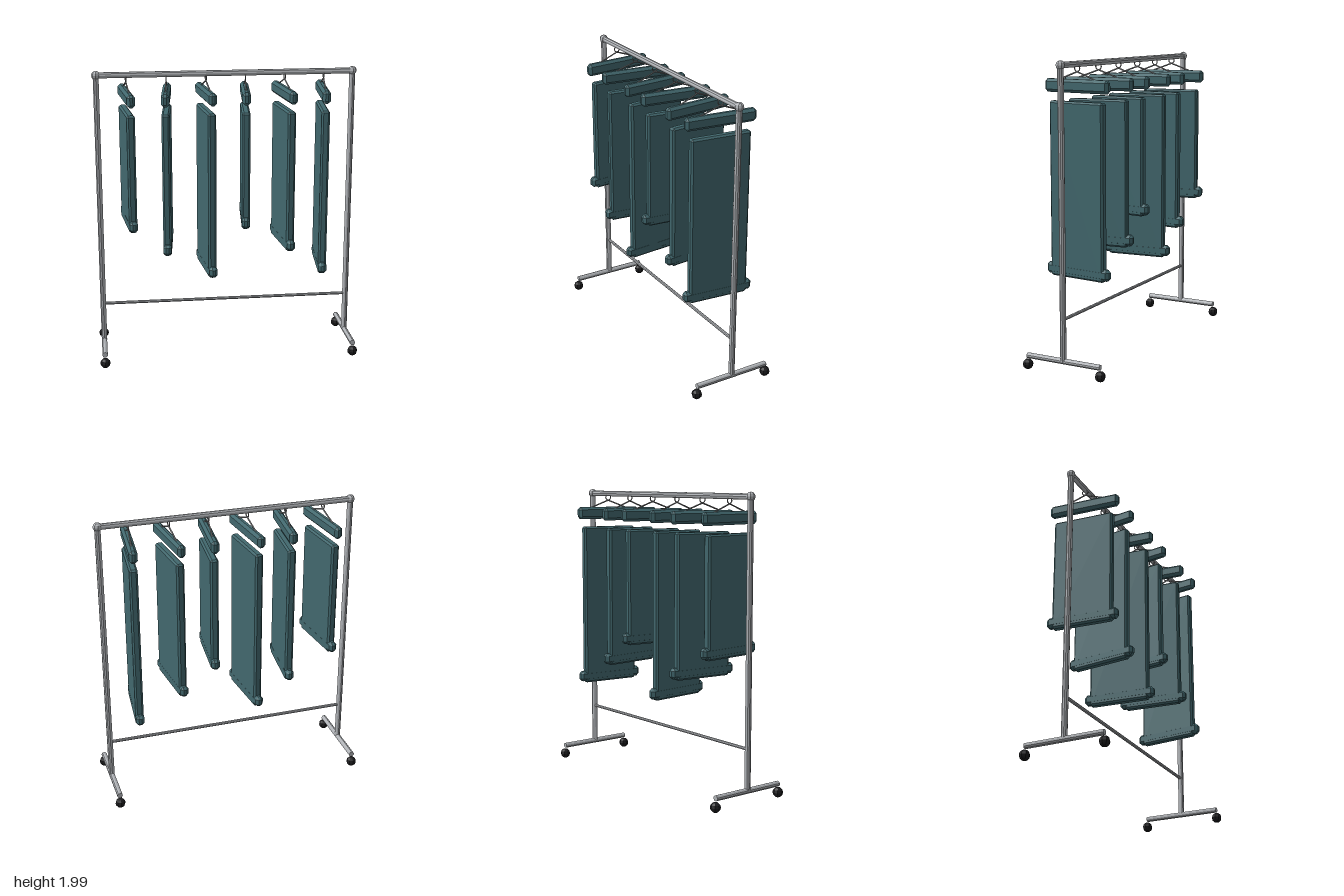
import * as THREE from 'three';
import { ConvexGeometry } from 'three/addons/geometries/ConvexGeometry.js';

const material = (name, color) => {
  const m = new THREE.MeshStandardMaterial({ color, flatShading: true });
  m.name = name;
  return m;
};

// Box with every edge and corner cut off by c
function chamferBox(w, h, d, c) {
  const points = [];
  for (const x of [-1, 1]) for (const y of [-1, 1]) for (const z of [-1, 1]) {
    const a = w / 2, b = h / 2, e = d / 2;
    points.push(
      new THREE.Vector3(x * a, y * (b - c), z * (e - c)),
      new THREE.Vector3(x * (a - c), y * b, z * (e - c)),
      new THREE.Vector3(x * (a - c), y * (b - c), z * e));
  }
  return new ConvexGeometry(points);
}

export function createModel() {
  const steel = material('steel', 0xb0b3b7);
  const wire = material('hanger wire', 0x929294);
  const cloth = material('teal cloth', 0x42686e);
  const rubber = material('black rubber', 0x1b1b1d);

  const model = new THREE.Group();
  model.name = 'clothesRack';

  const add = (parent, name, geometry, mat, x = 0, y = 0, z = 0) => {
    const mesh = new THREE.Mesh(geometry, mat);
    mesh.name = name;
    mesh.position.set(x, y, z);
    parent.add(mesh);
    return mesh;
  };

  // Straight round bar between two points
  const bar = (parent, name, from, to, radius, mat, sides = 10) => {
    const a = new THREE.Vector3(...from), b = new THREE.Vector3(...to);
    const mesh = add(parent, name, new THREE.CylinderGeometry(radius, radius, a.distanceTo(b), sides), mat);
    mesh.position.copy(a).add(b).multiplyScalar(0.5);
    mesh.quaternion.setFromUnitVectors(new THREE.Vector3(0, 1, 0), b.sub(a).normalize());
  };

  // Frame
  const X = 0.86, TOP = 1.97;
  bar(model, 'topBar', [-X, TOP, 0], [X, TOP, 0], 0.02, steel);
  bar(model, 'lowerRail', [-X, 0.373, 0], [X, 0.373, 0], 0.011, steel, 8);
  for (const x of [-X, X]) {
    bar(model, 'post', [x, 0.1, 0], [x, TOP, 0], 0.02, steel);
    bar(model, 'foot', [x, 0.1, -0.27], [x, 0.1, 0.27], 0.019, steel);
    add(model, 'cornerJoint', new THREE.SphereGeometry(0.03, 8, 6), steel, x, TOP, 0);
    for (const z of [-0.27, 0.27]) {
      add(model, 'caster', new THREE.SphereGeometry(0.035, 8, 6), rubber, x, 0.042, z);
    }
  }

  // Six garments in three repeating lengths, turned alternately
  const bottoms = [0.94, 0.77, 0.6];
  const thick = 0.055;
  for (let i = 0; i < 6; i++) {
    const garment = new THREE.Group();
    garment.name = 'hangingGarment';
    garment.position.x = -0.664 + i * 0.2655;
    garment.rotation.y = i % 2 ? -0.1 : 0.1;
    model.add(garment);

    const bottom = bottoms[i % 3], top = 1.735;
    add(garment, 'shoulders', chamferBox(thick, 0.085, 0.49, 0.018), cloth, 0, 1.832, 0);
    add(garment, 'body', chamferBox(thick, top - bottom, 0.414, 0.012), cloth, 0, (top + bottom) / 2, 0);
    add(garment, 'hem', chamferBox(thick + 0.001, 0.074, 0.49, 0.018), cloth, 0, bottom + 0.047, 0);

    // Wire hanger
    const hook = add(garment, 'hangerHook', new THREE.TorusGeometry(0.02, 0.004, 6, 14), wire, 0, 1.943, 0);
    hook.rotation.y = Math.PI / 2;
    for (const z of [-0.2, 0.2]) {
      bar(garment, 'hangerArm', [0, 1.922, 0], [0, 1.85, z], 0.005, wire, 6);
    }
  }
  return model;
}
